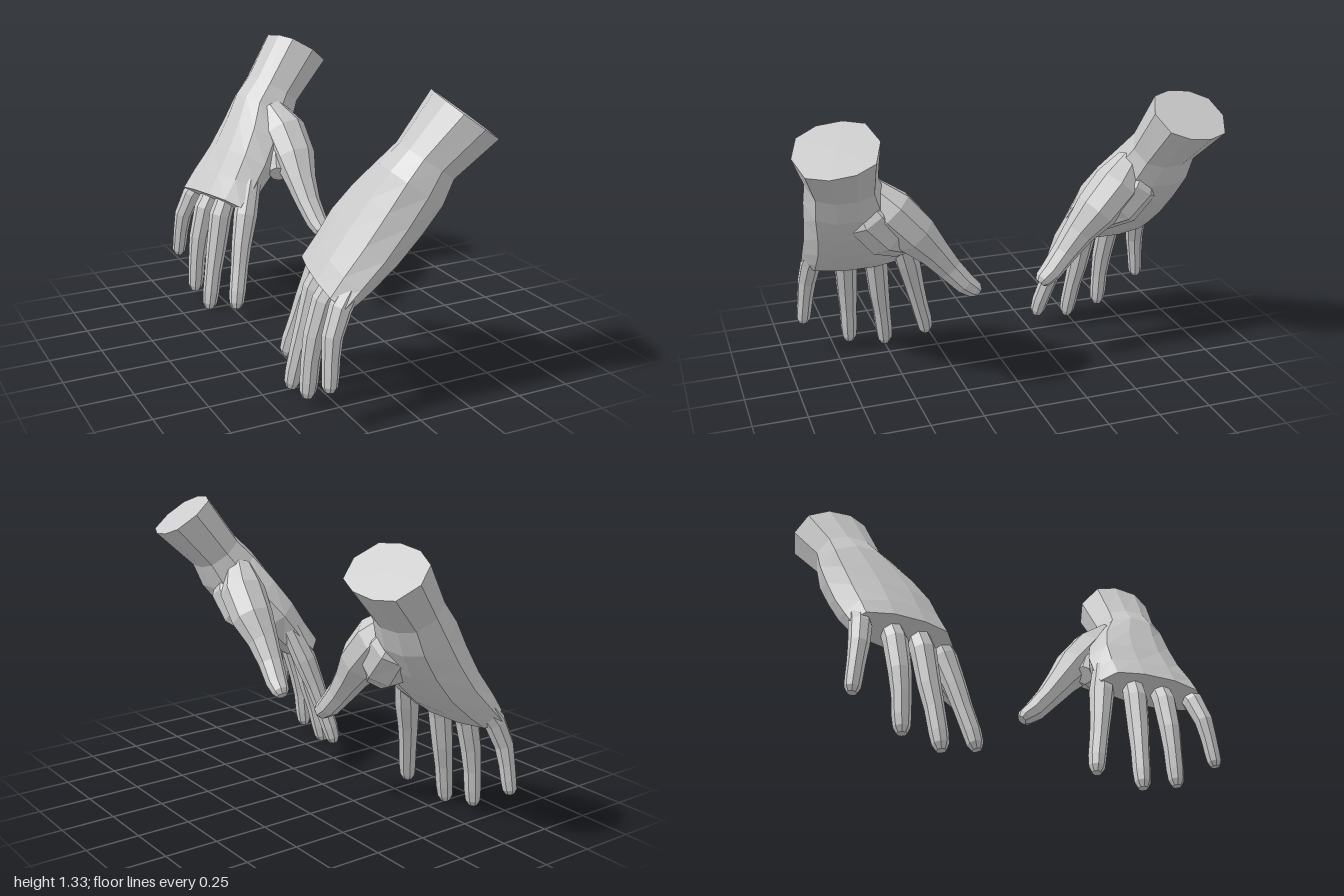
import * as THREE from 'three';

const V = (a) => new THREE.Vector3(a[0], a[1], a[2]);
const material = new THREE.MeshStandardMaterial({ color: 0xcccccc, flatShading: true });

// Skin a list of equal-sized rings, closed at both ends; side = -1 mirrors across z.
function loft(name, rings, side) {
  const n = rings[0].length;
  const tris = [];
  for (let i = 0; i < rings.length - 1; i++) {
    for (let k = 0; k < n; k++) {
      const a = rings[i][k], b = rings[i][(k + 1) % n];
      const c = rings[i + 1][k], d = rings[i + 1][(k + 1) % n];
      tris.push([a, b, c], [b, d, c]);
    }
  }
  const cap = (ring, flip) => {
    const mid = ring.reduce((s, p) => s.add(p), new THREE.Vector3()).divideScalar(n);
    ring.forEach((p, k) => {
      const q = ring[(k + 1) % n];
      tris.push(flip ? [mid, q, p] : [mid, p, q]);
    });
  };
  cap(rings[0], true);
  cap(rings[rings.length - 1], false);

  // Signed volume tells whether the faces point outwards
  const volume = tris.reduce((s, [a, b, c]) => s + a.dot(b.clone().cross(c)), 0) * side;
  const pos = [];
  for (const [a, b, c] of tris) {
    for (const p of volume > 0 ? [a, b, c] : [a, c, b]) pos.push(p.x, p.y, p.z * side);
  }
  const geo = new THREE.BufferGeometry();
  geo.setAttribute('position', new THREE.Float32BufferAttribute(pos, 3));
  geo.computeVertexNormals();
  const mesh = new THREE.Mesh(geo, material);
  mesh.name = name;
  return mesh;
}

// Outline of the wrist and palm: across the hand, then towards the palm
const OUTLINE = [[1, 0], [0.8, 0.75], [0.3, 1], [-0.3, 1], [-0.78, 0.75],
  [-1, 0], [-0.78, -0.75], [-0.3, -1], [0.3, -1], [0.8, -0.7]];

// Little-finger edge, thumb edge, half thickness
const PALM = [
  [[0.26, 1.22, 1.0], [0.3, 1.27, 0.63], 0.145],
  [[0.11, 1.05, 0.93], [0.14, 1.06, 0.61], 0.122],
  [[0.05, 0.95, 0.93], [0.08, 0.97, 0.57], 0.143],
  [[-0.03, 0.83, 0.92], [0.01, 0.86, 0.48], 0.138],
  [[-0.13, 0.7, 0.91], [-0.07, 0.75, 0.42], 0.125],
  [[-0.24, 0.59, 0.905], [-0.14, 0.65, 0.4], 0.105],
  [[-0.31, 0.52, 0.9], [-0.22, 0.56, 0.385], 0.083],
];
const PALM_NORMAL = new THREE.Vector3(0.82, -0.57, 0);

function palmRings() {
  return PALM.map(([u, r, t]) => {
    const mid = V(u).add(V(r)).multiplyScalar(0.5);
    const half = V(u).sub(V(r)).multiplyScalar(0.5);
    return OUTLINE.map(([a, b]) =>
      mid.clone().addScaledVector(half, a).addScaledVector(PALM_NORMAL, b * t));
  });
}

// Centre line points of each digit and the thumb mound: x, y, z, radius
const LIMBS = {
  thumbMound: [[0.08, 0.97, 0.7, 0.06], [0.085, 0.87, 0.65, 0.115], [0.07, 0.78, 0.57, 0.122],
    [0.035, 0.72, 0.49, 0.09], [0.01, 0.69, 0.44, 0.045]],
  thumb: [[0.06, 0.98, 0.64, 0.07], [0.095, 0.88, 0.55, 0.112], [0.105, 0.765, 0.445, 0.105],
    [0.1, 0.665, 0.36, 0.077], [0.105, 0.57, 0.285, 0.061], [0.118, 0.49, 0.215, 0.053],
    [0.125, 0.455, 0.17, 0.042], [0.127, 0.44, 0.155, 0.026]],
  indexFinger: [[-0.13, 0.67, 0.46, 0.05], [-0.185, 0.51, 0.41, 0.06], [-0.225, 0.37, 0.373, 0.05],
    [-0.25, 0.26, 0.345, 0.044], [-0.275, 0.15, 0.315, 0.042], [-0.286, 0.095, 0.304, 0.037],
    [-0.29, 0.067, 0.299, 0.022]],
  middleFinger: [[-0.19, 0.65, 0.57, 0.045], [-0.265, 0.48, 0.547, 0.057], [-0.3, 0.31, 0.53, 0.051],
    [-0.325, 0.2, 0.515, 0.044], [-0.345, 0.09, 0.503, 0.042], [-0.355, 0.035, 0.498, 0.037],
    [-0.36, 0.006, 0.496, 0.022]],
  ringFinger: [[-0.2, 0.65, 0.705, 0.045], [-0.295, 0.48, 0.69, 0.055], [-0.335, 0.33, 0.682, 0.05],
    [-0.352, 0.22, 0.678, 0.043], [-0.36, 0.12, 0.677, 0.041], [-0.365, 0.07, 0.676, 0.036],
    [-0.368, 0.043, 0.676, 0.022]],
  littleFinger: [[-0.21, 0.64, 0.835, 0.04], [-0.305, 0.51, 0.855, 0.05], [-0.35, 0.4, 0.873, 0.045],
    [-0.362, 0.31, 0.885, 0.039], [-0.368, 0.24, 0.893, 0.037], [-0.373, 0.195, 0.898, 0.034],
    [-0.375, 0.172, 0.9, 0.021]],
};

function limbRings(path, sides = 8) {
  return path.map((p, i) => {
    const before = V(path[Math.max(i - 1, 0)]);
    const along = V(path[Math.min(i + 1, path.length - 1)]).sub(before).normalize();
    const out = new THREE.Vector3(1, 0, 0).addScaledVector(along, -along.x).normalize();
    const across = along.clone().cross(out);
    return Array.from({ length: sides }, (_, k) => {
      const a = ((k + 0.5) / sides) * Math.PI * 2;
      return V(p).addScaledVector(out, Math.cos(a) * p[3]).addScaledVector(across, Math.sin(a) * p[3]);
    });
  });
}

function makeHand(name, side) {
  const hand = new THREE.Group();
  hand.name = name;
  hand.add(loft('palmAndWrist', palmRings(), side));
  for (const [limb, path] of Object.entries(LIMBS)) hand.add(loft(limb, limbRings(path), side));
  return hand;
}

export function createModel() {
  const model = new THREE.Group();
  model.name = 'handPair';
  model.add(makeHand('frontHand', 1), makeHand('backHand', -1));
  // Stand on the ground
  model.position.y = -new THREE.Box3().setFromObject(model).min.y;
  return model;
}
